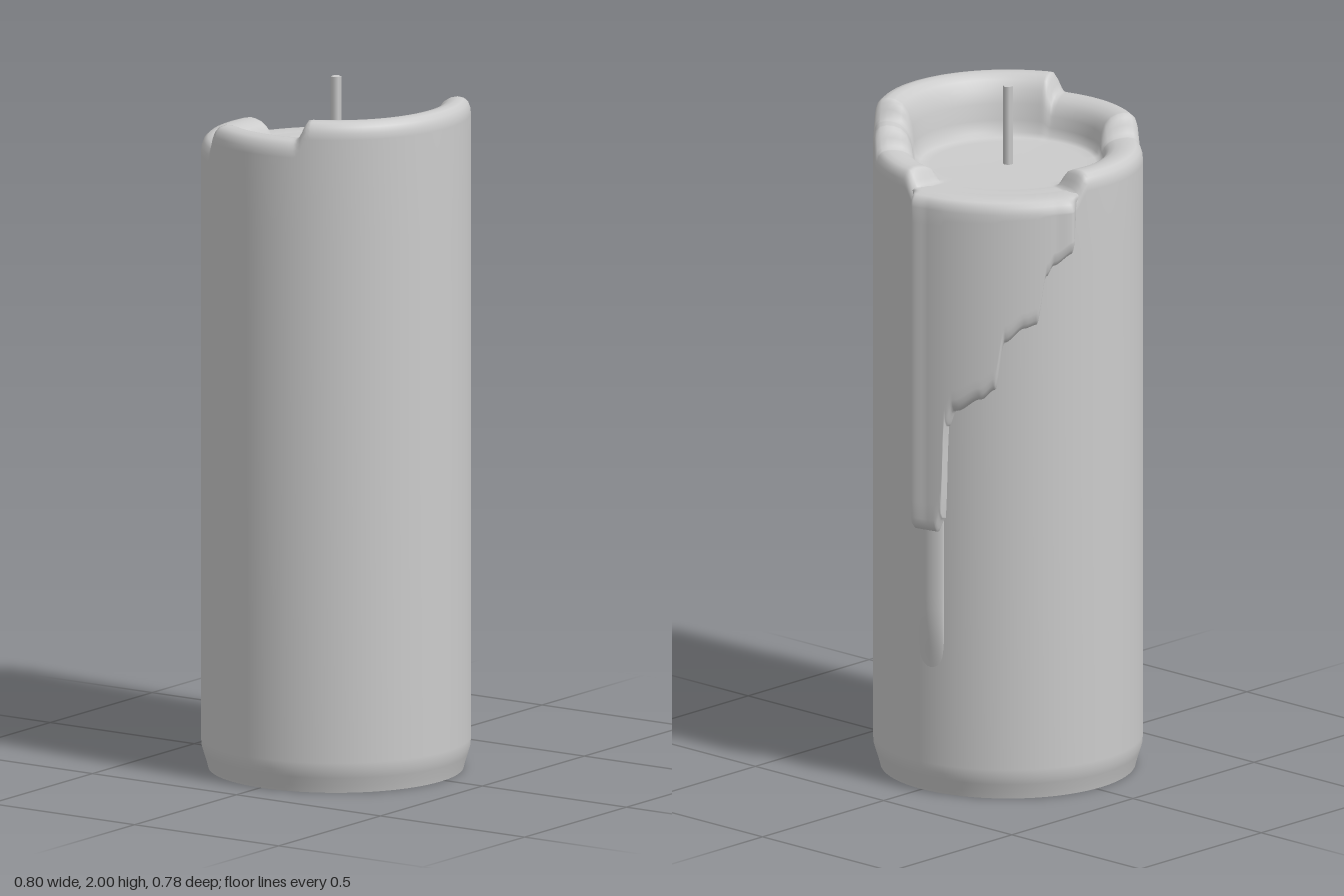
import * as THREE from 'three';

const R = 0.383, FLOOR = 1.77, CX = -0.02, CZ = 0.006;
const material = new THREE.MeshStandardMaterial({ color: 0xcccccc, side: THREE.DoubleSide });

// Eased interpolation through [x, value] pairs
function lookup(table, x) {
  if (x <= table[0][0]) return table[0][1];
  for (let i = 1; i < table.length; i++) {
    const [x0, y0] = table[i - 1], [x1, y1] = table[i];
    if (x <= x1) return y0 + (y1 - y0) * THREE.MathUtils.smoothstep(x, x0, x1);
  }
  return table[table.length - 1][1];
}

// Surface from one upright section per angle; section(deg) gives [radius, y] pairs
function sweep(name, from, to, columns, section, closed = false) {
  const positions = [], index = [];
  const count = closed ? columns : columns + 1;
  let rows = 0;
  for (let i = 0; i < count; i++) {
    const deg = from + (to - from) * i / columns, a = THREE.MathUtils.degToRad(deg);
    const points = section(deg);
    rows = points.length;
    for (const [r, y] of points) positions.push(r * Math.cos(a), y, r * Math.sin(a));
  }
  for (let i = 0; i < columns; i++) {
    for (let j = 0; j < rows - 1; j++) {
      const a = i * rows + j, d = ((i + 1) % count) * rows + j;
      index.push(a, a + 1, d + 1, a, d + 1, d);
    }
  }
  const geometry = new THREE.BufferGeometry();
  geometry.setAttribute('position', new THREE.Float32BufferAttribute(positions, 3));
  geometry.setIndex(index);
  geometry.computeVertexNormals();
  const mesh = new THREE.Mesh(geometry, material);
  mesh.name = name;
  return mesh;
}

// Rim height by angle: stepped down on both sides towards the spill
const RIM = [
  [0, 1.773], [7, 1.825], [36, 1.83], [42, 1.89], [51, 1.89], [57, 1.945],
  [157, 1.945], [163, 1.89], [210, 1.89], [216, 1.83], [280, 1.83], [287, 1.773], [360, 1.773],
];
// Inner side of the rim: radius and share of the height above the pool
const INNER = [
  [0.345, 1], [0.325, 0.98], [0.305, 0.91], [0.288, 0.77], [0.276, 0.55],
  [0.27, 0.28], [0.263, 0.09], [0.25, 0.02], [0.22, 0], [0, 0],
];

function bodySection(deg) {
  const h = lookup(RIM, deg);
  return [
    [0.362, 0], [0.367, 0.02], [0.375, 0.045], [0.381, 0.065], [R, 0.09], [R, 0.9], [R, 1.6],
    [R, h - 0.05], [R - 0.002, h - 0.032], [R - 0.008, h - 0.015], [R - 0.02, h - 0.004],
    ...INNER.map(([r, share]) => [r, FLOOR + (h - FLOOR) * share]),
  ];
}

// Spilled sheet of wax: ragged lower edge and thickness by angle
const SPILL_EDGE = [
  [-73, 1.7], [-70, 1.61], [-62, 1.58], [-59, 1.55], [-55, 1.41], [-50, 1.4], [-42, 1.36],
  [-38, 1.22], [-32, 1.19], [-21, 1.15], [-17.5, 1.1], [-16, 0.83], [-13, 0.785], [-3, 0.785], [0, 0.81],
];
const SPILL_THICKNESS = [[-75, -0.006], [-69, 0.038], [-62, 0.032], [-10, 0.033], [-3, 0.039], [2, -0.006]];

function spillSection(deg) {
  const b = lookup(SPILL_EDGE, deg), t = lookup(SPILL_THICKNESS, deg);
  const points = [[R - 0.006, b - 0.008], [R + t * 0.6, b], [R + t * 0.9, b + 0.015]];
  for (let k = 0; k <= 20; k++) points.push([R + t, b + 0.035 + (1.738 - b - 0.035) * k / 20]);
  points.push([R + t * 0.85, 1.758], [R + t * 0.5, 1.77], [R - 0.01, 1.775], [0.33, 1.774], [0.3, 1.77]);
  return points;
}

// Thin run of wax continuing below the spill
function runSection(deg) {
  const side = Math.sqrt(Math.max(0, Math.sin(Math.PI * (deg + 15.5) / 14)));
  const points = [];
  for (let k = 0; k <= 12; k++) {
    const y = 0.34 + 0.5 * k / 12;
    points.push([R - 0.004 + 0.018 * side * THREE.MathUtils.smoothstep(y, 0.3, 0.55), y]);
  }
  return points;
}

export function createModel() {
  const candle = new THREE.Group();
  candle.name = 'candle';
  candle.position.set(CX, 0, CZ);

  candle.add(sweep('waxBody', 0, 360, 240, bodySection, true));
  candle.add(sweep('spilledWax', -75, 2, 154, spillSection));
  candle.add(sweep('thinWaxRun', -15.5, -1.5, 28, runSection));

  // Flat underside
  const base = new THREE.Mesh(new THREE.CircleGeometry(0.362, 80).rotateX(Math.PI / 2), material);
  base.name = 'underside';
  candle.add(base);

  // Hexagonal wick
  const wickGeometry = new THREE.CylinderGeometry(0.015, 0.015, 0.25, 6).rotateY(Math.PI / 6);
  const wick = new THREE.Mesh(wickGeometry, material);
  wick.name = 'wick';
  wick.position.y = 1.875;
  candle.add(wick);

  const model = new THREE.Group();
  model.name = 'meltedCandle';
  model.add(candle);
  return model;
}
